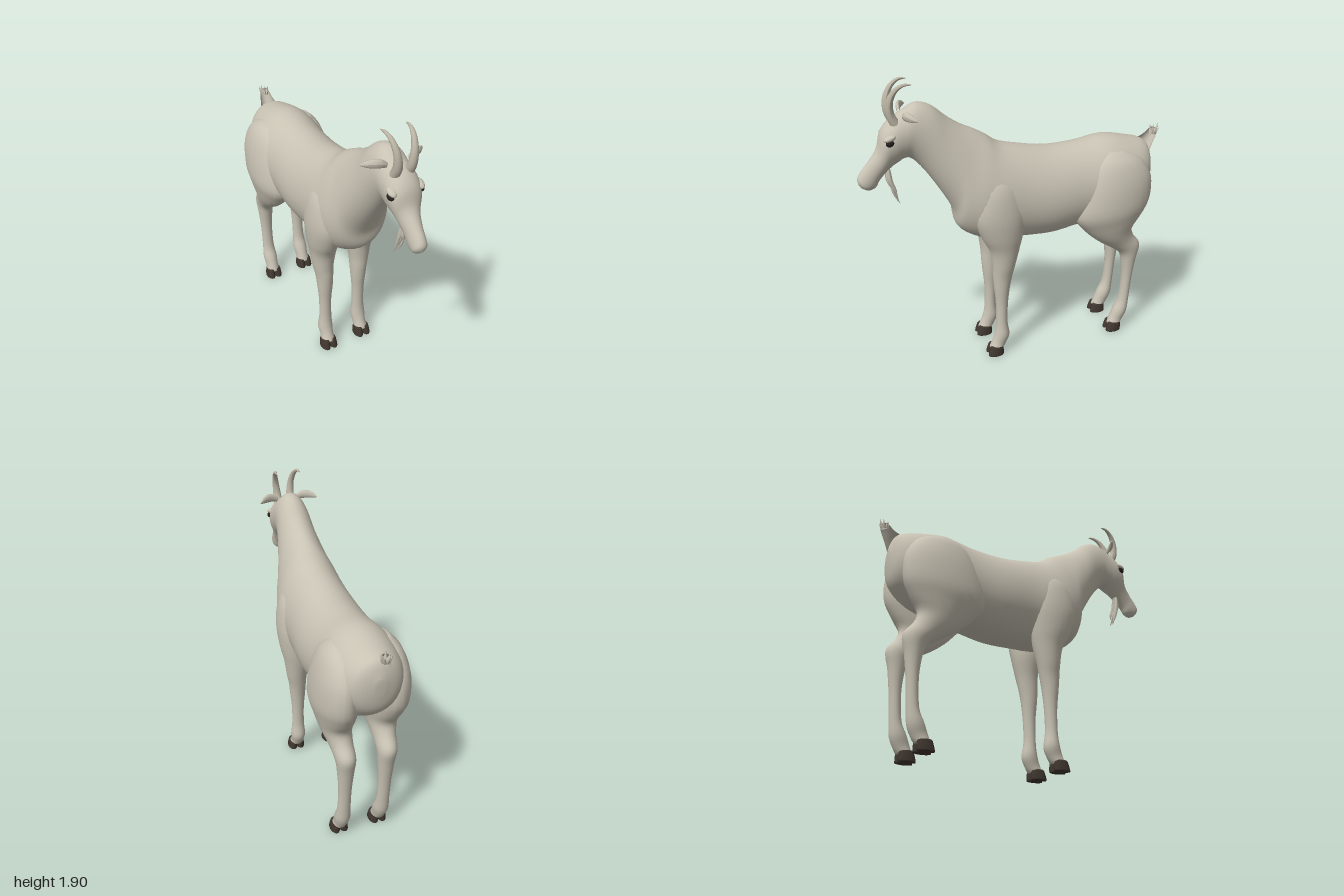
import * as THREE from 'three';

const coat = new THREE.MeshStandardMaterial({ color: 0xc8c2b3 });
coat.name = 'coat';
const horn = new THREE.MeshStandardMaterial({ color: 0xbcb5a5 });
horn.name = 'horn';
const hoofDark = new THREE.MeshStandardMaterial({ color: 0x40372f });
hoofDark.name = 'hoof';
const eyeDark = new THREE.MeshStandardMaterial({ color: 0x25211e });
eyeDark.name = 'eye';

// Skin through oval sections [z1, y1, z2, y2, halfWidth, centreX, egg]:
// two opposite outline points seen from the side, and the width across x.
function loft(sections, steps = 5, sides = 28, side = 1) {
  const n = sections.length;
  const at = (i, k) => sections[Math.min(n - 1, Math.max(0, i))][k] ?? 0;
  const pos = [], index = [];
  const rows = (n - 1) * steps + 1;
  const mids = [];
  for (let r = 0; r < rows; r++) {
    const i = Math.min(n - 2, Math.floor(r / steps)), t = r / steps - i;
    const s = [];
    for (let k = 0; k < 7; k++) {
      const a = at(i - 1, k), b = at(i, k), c = at(i + 1, k), d = at(i + 2, k);
      s.push(b + 0.5 * t * (c - a + t * (2 * a - 5 * b + 4 * c - d + t * (3 * (b - c) + d - a))));
    }
    const [z1, y1, z2, y2, w, cx, egg] = s;
    mids.push([cx * side, (y1 + y2) / 2, (z1 + z2) / 2]);
    for (let j = 0; j < sides; j++) {
      const a = (j / sides) * Math.PI * 2, q = Math.sin(a) / 2;
      pos.push(cx * side + w * Math.cos(a) * (1 - egg * Math.sin(a)),
        (y1 + y2) / 2 + (y1 - y2) * q, (z1 + z2) / 2 + (z1 - z2) * q);
    }
  }
  const first = rows * sides, last = first + 1;
  pos.push(...mids[0], ...mids[rows - 1]);
  for (let j = 0; j < sides; j++) {
    const k = (j + 1) % sides, e = (rows - 1) * sides;
    for (let r = 0; r < rows - 1; r++) {
      const a = r * sides + j, b = r * sides + k;
      index.push(a, b, a + sides, b, b + sides, a + sides);
    }
    index.push(first, k, j, last, e + j, e + k);
  }
  const g = new THREE.BufferGeometry();
  g.setAttribute('position', new THREE.Float32BufferAttribute(pos, 3));
  g.setIndex(index);
  g.computeVertexNormals();
  return g;
}

// Tube whose radius follows a rule along its length, optionally flattened.
function tapered(points, radius, flat = [1, 1, 1], segs = 20, sides = 10) {
  const curve = new THREE.CatmullRomCurve3(points.map(p => new THREE.Vector3(...p)));
  const g = new THREE.TubeGeometry(curve, segs, 1, sides);
  const p = g.attributes.position, v = new THREE.Vector3(), f = new THREE.Vector3(...flat);
  for (let i = 0; i < p.count; i++) {
    const t = Math.floor(i / (sides + 1)) / segs, c = curve.getPointAt(t);
    v.fromBufferAttribute(p, i).sub(c).multiply(f).multiplyScalar(radius(t)).add(c);
    p.setXYZ(i, v.x, v.y, v.z);
  }
  g.computeVertexNormals();
  return g;
}

// Rump, belly, chest, neck and head, from back to nose
const BODY = [
  [-0.925, 1.26, -0.92, 1.16, 0.03],
  [-0.90, 1.345, -0.90, 1.06, 0.11],
  [-0.86, 1.38, -0.85, 0.99, 0.165],
  [-0.77, 1.405, -0.74, 0.91, 0.21],
  [-0.60, 1.435, -0.58, 0.86, 0.235, 0, 0.03],
  [-0.40, 1.41, -0.40, 0.84, 0.23, 0, 0.06],
  [-0.20, 1.405, -0.20, 0.81, 0.235, 0, 0.06],
  [0.00, 1.44, 0.00, 0.815, 0.225, 0, 0.08],
  [0.13, 1.475, 0.16, 0.825, 0.225, 0, 0.12],
  [0.21, 1.53, 0.31, 0.87, 0.215, 0, 0.18],
  [0.28, 1.57, 0.41, 0.95, 0.19, 0, 0.18],
  [0.37, 1.615, 0.435, 1.07, 0.165, 0, 0.15],
  [0.45, 1.67, 0.51, 1.21, 0.138, 0, 0.1],
  [0.54, 1.745, 0.60, 1.35, 0.115],
  [0.63, 1.77, 0.67, 1.43, 0.105],
  [0.71, 1.73, 0.715, 1.44, 0.104],
  [0.79, 1.68, 0.75, 1.42, 0.104, 0, -0.1],
  [0.845, 1.61, 0.79, 1.395, 0.092, 0, -0.18],
  [0.875, 1.51, 0.83, 1.36, 0.066, 0, -0.1],
  [0.93, 1.435, 0.87, 1.315, 0.051],
  [0.98, 1.375, 0.895, 1.275, 0.047],
  [1.00, 1.335, 0.935, 1.26, 0.04],
  [0.995, 1.30, 0.97, 1.272, 0.014],
];

const FRONT_LEG = [
  [0.23, 1.33, 0.13, 1.33, 0.03, 0.13],
  [0.31, 1.22, 0.04, 1.22, 0.085, 0.14],
  [0.34, 1.05, 0.00, 1.05, 0.10, 0.15],
  [0.29, 0.90, 0.015, 0.90, 0.095, 0.145],
  [0.235, 0.79, 0.035, 0.79, 0.084, 0.135],
  [0.215, 0.67, 0.065, 0.67, 0.068, 0.135],
  [0.212, 0.59, 0.083, 0.59, 0.058, 0.13],
  [0.205, 0.50, 0.10, 0.50, 0.052, 0.128],
  [0.194, 0.38, 0.113, 0.38, 0.042, 0.128],
  [0.194, 0.24, 0.118, 0.24, 0.042, 0.128],
  [0.204, 0.16, 0.105, 0.14, 0.05, 0.13],
  [0.222, 0.10, 0.13, 0.075, 0.044, 0.13],
  [0.245, 0.05, 0.15, 0.045, 0.048, 0.132],
];

const HIND_LEG = [
  [-0.56, 1.36, -0.68, 1.36, 0.03, 0.14],
  [-0.45, 1.28, -0.80, 1.30, 0.092, 0.14],
  [-0.38, 1.13, -0.87, 1.18, 0.118, 0.155],
  [-0.34, 0.95, -0.87, 1.02, 0.128, 0.157],
  [-0.41, 0.84, -0.82, 0.91, 0.112, 0.15],
  [-0.51, 0.745, -0.765, 0.82, 0.09, 0.145],
  [-0.62, 0.67, -0.785, 0.745, 0.07, 0.137],
  [-0.695, 0.61, -0.84, 0.665, 0.061, 0.132],
  [-0.718, 0.53, -0.82, 0.55, 0.052, 0.13],
  [-0.728, 0.40, -0.80, 0.40, 0.042, 0.13],
  [-0.715, 0.24, -0.788, 0.24, 0.042, 0.13],
  [-0.68, 0.16, -0.778, 0.14, 0.05, 0.13],
  [-0.655, 0.10, -0.75, 0.075, 0.044, 0.13],
  [-0.635, 0.05, -0.73, 0.045, 0.048, 0.132],
];

export function createModel() {
  const goat = new THREE.Group();
  goat.name = 'goat';
  const add = (name, geometry, material = coat) => {
    const m = new THREE.Mesh(geometry, material);
    m.name = name;
    goat.add(m);
    return m;
  };

  add('body', loft(BODY, 5, 40));

  for (const s of [1, -1]) {
    const label = s > 0 ? 'left' : 'right';
    add(label + 'FrontLeg', loft(FRONT_LEG, 4, 24, s));
    add(label + 'HindLeg', loft(HIND_LEG, 4, 24, s));

    // Cloven hooves: two toes on each foot
    for (const [foot, dz] of [['Front', 0], ['Hind', -0.88]]) {
      for (const toe of [-1, 1]) {
        const x = 0.132 + toe * 0.025;
        add(label + foot + 'Hoof', loft([
          [0.235 + dz, 0.066, 0.165 + dz, 0.062, 0.020, x],
          [0.247 + dz, 0.058, 0.155 + dz, 0.055, 0.027, x],
          [0.262 + dz, 0.006, 0.154 + dz, 0.006, 0.031, x + toe * 0.002],
          [0.260 + dz, 0, 0.156 + dz, 0, 0.029, x + toe * 0.002],
        ], 2, 16, s), hoofDark);
      }
    }

    // Horn sweeping up and back
    add(label + 'Horn', tapered([
      [s * 0.045, 1.655, 0.755], [s * 0.046, 1.72, 0.785], [s * 0.054, 1.80, 0.785],
      [s * 0.066, 1.865, 0.75], [s * 0.075, 1.893, 0.705], [s * 0.08, 1.893, 0.657],
    ], t => 0.03 * Math.pow(1 - t, 0.65) + 0.001), horn);

    // Leaf-shaped ear
    add(label + 'Ear', tapered([
      [s * 0.065, 1.705, 0.715], [s * 0.11, 1.722, 0.71], [s * 0.155, 1.722, 0.69], [s * 0.2, 1.71, 0.655],
    ], t => 0.027 * Math.pow(Math.sin(Math.PI * (0.16 + 0.84 * t)), 0.8) + 0.0005, [0.6, 1, 0.5]));

    // Eye under a soft brow
    const eye = add(label + 'Eye', new THREE.SphereGeometry(1, 16, 12), eyeDark);
    eye.position.set(s * 0.094, 1.567, 0.805);
    eye.scale.set(0.02, 0.02, 0.026);
    eye.rotation.x = 0.35;
    const brow = add(label + 'Brow', new THREE.SphereGeometry(1, 16, 12));
    brow.position.set(s * 0.088, 1.594, 0.802);
    brow.scale.set(0.025, 0.018, 0.04);
    brow.rotation.x = 0.35;
  }

  // Beard of thin strands
  for (let i = 0; i < 7; i++) {
    const x = (i - 3) * 0.007, drop = 0.03 * ((i * 3) % 4);
    add('beardStrand', tapered([
      [x * 0.6, 1.385, 0.815], [x, 1.30, 0.805 + (i % 2) * 0.012],
      [x * 1.1, 1.22 + drop * 0.5, 0.785 + (i % 3) * 0.006], [x, 1.145 + drop, 0.757 + drop * 0.3],
    ], t => 0.011 * Math.pow(Math.sin(Math.PI * (0.3 + 0.7 * t)), 0.8) + 0.0005, [0.8, 1, 1.2], 12, 6));
  }

  // Short upright tail with a tufted tip
  add('tail', loft([
    [-0.91, 1.20, -0.80, 1.34, 0.075],
    [-0.935, 1.28, -0.845, 1.375, 0.058],
    [-0.965, 1.35, -0.89, 1.395, 0.042],
    [-0.985, 1.40, -0.925, 1.425, 0.031],
    [-0.98, 1.43, -0.94, 1.44, 0.02],
  ].map(([z1, y1, z2, y2, w]) => [z2, y2, z1, y1, w]).map(([a, b, c, d, w]) => [c, d, a, b, -w]), 4, 16));
  for (let i = 0; i < 7; i++) {
    const a = (i / 7) * Math.PI * 2, x = Math.cos(a), z = Math.sin(a);
    add('tailTuft', tapered([
      [x * 0.012, 1.40, -0.957 + z * 0.012], [x * 0.026, 1.425, -0.964 + z * 0.022],
      [x * 0.032, 1.445 + (i % 3) * 0.008, -0.968 + z * 0.03],
    ], t => 0.012 * (1 - t) + 0.0005, [1, 1, 1], 6, 6));
  }
  return goat;
}
